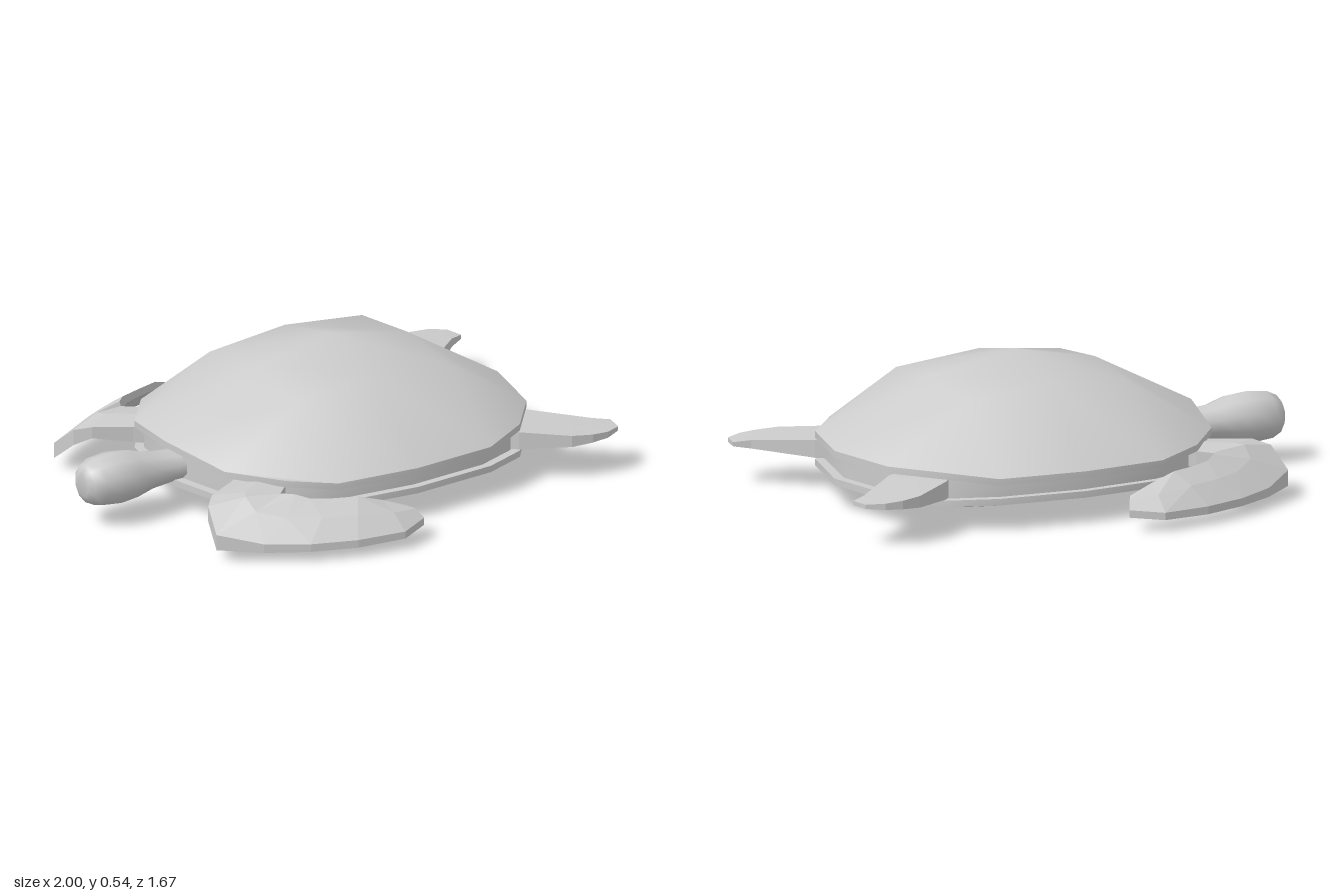
import * as THREE from 'three';
import { toCreasedNormals } from 'three/addons/utils/BufferGeometryUtils.js';

// Skin a grid of points; closed rings may be capped, flip reverses the facing.
function skin(rows, { closed = false, caps = false, flip = false } = {}) {
  const n = rows[0].length;
  const index = [];
  const tri = (a, b, c) => (flip ? index.push(a, c, b) : index.push(a, b, c));
  for (let i = 0; i < rows.length - 1; i++) {
    for (let j = 0; j < (closed ? n : n - 1); j++) {
      const a = i * n + j, b = i * n + ((j + 1) % n);
      tri(a, b, b + n);
      tri(a, b + n, a + n);
    }
  }
  if (caps) {
    const last = (rows.length - 1) * n;
    for (let k = 1; k < n - 1; k++) {
      tri(0, k + 1, k);
      tri(last, last + k, last + k + 1);
    }
  }
  const g = new THREE.BufferGeometry();
  g.setAttribute('position', new THREE.Float32BufferAttribute(rows.flat(2), 3));
  g.setIndex(index);
  g.computeVertexNormals();
  return g;
}

// Shell plan: rows go from the midline (0) to the side (2), columns from head to tail.
const PLAN_X = [[-0.635, -0.24, 0.09, 0.43, 0.83], [-0.57, -0.24, 0.09, 0.43, 0.76], [-0.42, -0.24, 0.09, 0.43, 0.61]];
const PLAN_Z = [[0, 0, 0, 0, 0], [0.305, 0.3, 0.3, 0.3, 0.305], [0.49, 0.57, 0.6, 0.57, 0.49]];
const TOP_Y = [[0.265, 0.47, 0.537, 0.47, 0.225], [0.23, 0.435, 0.47, 0.435, 0.225], [0.222, 0.2, 0.2, 0.2, 0.225]];
const BOTTOM_Y = [[0.1, 0.01, 0, 0.01, 0.095], [0.1, 0.035, 0.03, 0.035, 0.095], [0.095, 0.1, 0.1, 0.1, 0.095]];

const shellGrid = (heights) => [0, 1, 2, 3, 4].map((c) =>
  [-2, -1, 0, 1, 2].map((r) => {
    const a = Math.abs(r);
    return [PLAN_X[a][c], heights[a][c], Math.sign(r) * PLAN_Z[a][c]];
  }));

// The 16 border points of a shell grid, in ring order.
function border(g) {
  const ring = [];
  for (let k = 0; k < 4; k++) ring.push(g[4][k]);
  for (let k = 4; k > 0; k--) ring.push(g[k][4]);
  for (let k = 4; k > 0; k--) ring.push(g[0][k]);
  for (let k = 0; k < 4; k++) ring.push(g[k][0]);
  return ring;
}

// Shift a ring up or down and draw it in towards the shell's centre.
const moveRing = (ring, dy, scale = 1) =>
  ring.map(([x, y, z]) => [0.09 + (x - 0.09) * scale, y + dy, z * scale]);

// Flipper stations: [inner x, z, y,  outer x, z, y,  half thickness]
const FRONT_FLIPPER = [
  [-0.36, 0.41, 0.16, -0.48, 0.27, 0.16, 0.03],
  [-0.42, 0.48, 0.165, -0.56, 0.33, 0.165, 0.03],
  [-0.48, 0.535, 0.17, -0.69, 0.405, 0.175, 0.022],
  [-0.475, 0.55, 0.175, -0.74, 0.455, 0.15, 0.03],
  [-0.44, 0.585, 0.175, -0.765, 0.55, 0.072, 0.03],
  [-0.4, 0.62, 0.175, -0.63, 0.665, 0.057, 0.017],
  [-0.32, 0.655, 0.172, -0.48, 0.75, 0.055, 0.015],
  [-0.23, 0.685, 0.17, -0.31, 0.81, 0.055, 0.015],
  [-0.13, 0.7, 0.14, -0.12, 0.837, 0.058, 0.014],
  [-0.035, 0.715, 0.105, 0, 0.78, 0.068, 0.014],
];
const REAR_FLIPPER = [
  [0.66, 0.24, 0.157, 0.53, 0.4, 0.157, 0.036],
  [0.76, 0.31, 0.157, 0.61, 0.485, 0.157, 0.034],
  [0.88, 0.42, 0.157, 0.77, 0.597, 0.157, 0.022],
  [0.94, 0.475, 0.157, 0.85, 0.615, 0.157, 0.016],
  [0.97, 0.49, 0.157, 0.92, 0.612, 0.157, 0.012],
  [1, 0.505, 0.157, 0.985, 0.58, 0.157, 0.008],
];

function flipperGeometry(stations, side, bulge) {
  const rows = stations.map(([ix, iz, iy, ox, oz, oy, t]) => {
    const mid = [(ix + ox) / 2, (iy + oy) / 2 + bulge, (iz + oz) / 2];
    const line = [[ix, iy, iz], mid, [ox, oy, oz]];
    const at = (dy) => line.map(([x, y, z]) => [x, y + dy, z * side]);
    return [...at(t), ...at(-t).reverse()];
  });
  return skin(rows, { closed: true, caps: true, flip: side < 0 });
}

// Head and neck stations: [x, centre y, half height, half width]
const HEAD = [
  [-1, 0.17, 0.045, 0.045], [-0.985, 0.17, 0.072, 0.07], [-0.945, 0.17, 0.092, 0.093],
  [-0.865, 0.17, 0.1, 0.105], [-0.79, 0.17, 0.092, 0.098], [-0.715, 0.167, 0.07, 0.08],
  [-0.62, 0.166, 0.058, 0.076], [-0.5, 0.165, 0.055, 0.075],
];

export function createModel() {
  const model = new THREE.Group();
  model.name = 'seaTurtle';
  const smooth = new THREE.MeshStandardMaterial({ color: 0xcccccc });
  const faceted = new THREE.MeshStandardMaterial({ color: 0xcccccc, flatShading: true });
  const add = (name, geometry, material = smooth) => {
    const mesh = new THREE.Mesh(geometry, material);
    mesh.name = name;
    model.add(mesh);
  };

  // Upper and lower shell surfaces
  const top = shellGrid(TOP_Y), bottom = shellGrid(BOTTOM_Y);
  add('upperShell', skin(top));
  add('lowerShell', skin(bottom, { flip: true }));

  // Overhanging rims and the recessed wall between them
  const topRing = border(top), bottomRing = border(bottom);
  const band = (...rings) => toCreasedNormals(skin(rings, { closed: true }), 0.6);
  const upperIn = moveRing(topRing, -0.025, 0.95);
  const lowerIn = moveRing(bottomRing, 0.025, 0.95);
  add('upperRim', band(topRing, moveRing(topRing, -0.025), upperIn));
  add('bodyWall', band(upperIn, lowerIn));
  add('lowerRim', band(lowerIn, moveRing(bottomRing, 0.025), bottomRing));

  // Head and neck
  const sides = 10;
  const headRows = HEAD.map(([x, y, h, w]) => Array.from({ length: sides }, (_, k) => {
    const a = (k / sides) * Math.PI * 2;
    return [x, y + h * Math.cos(a), w * Math.sin(a)];
  }));
  add('headAndNeck', toCreasedNormals(skin(headRows, { closed: true, caps: true }), 0.8));

  // Mirrored pairs of flippers
  for (const side of [1, -1]) {
    const label = side > 0 ? 'Near' : 'Far';
    add('frontFlipper' + label, flipperGeometry(FRONT_FLIPPER, side, 0.012), faceted);
    add('rearFlipper' + label, flipperGeometry(REAR_FLIPPER, side, 0), faceted);
  }
  return model;
}
